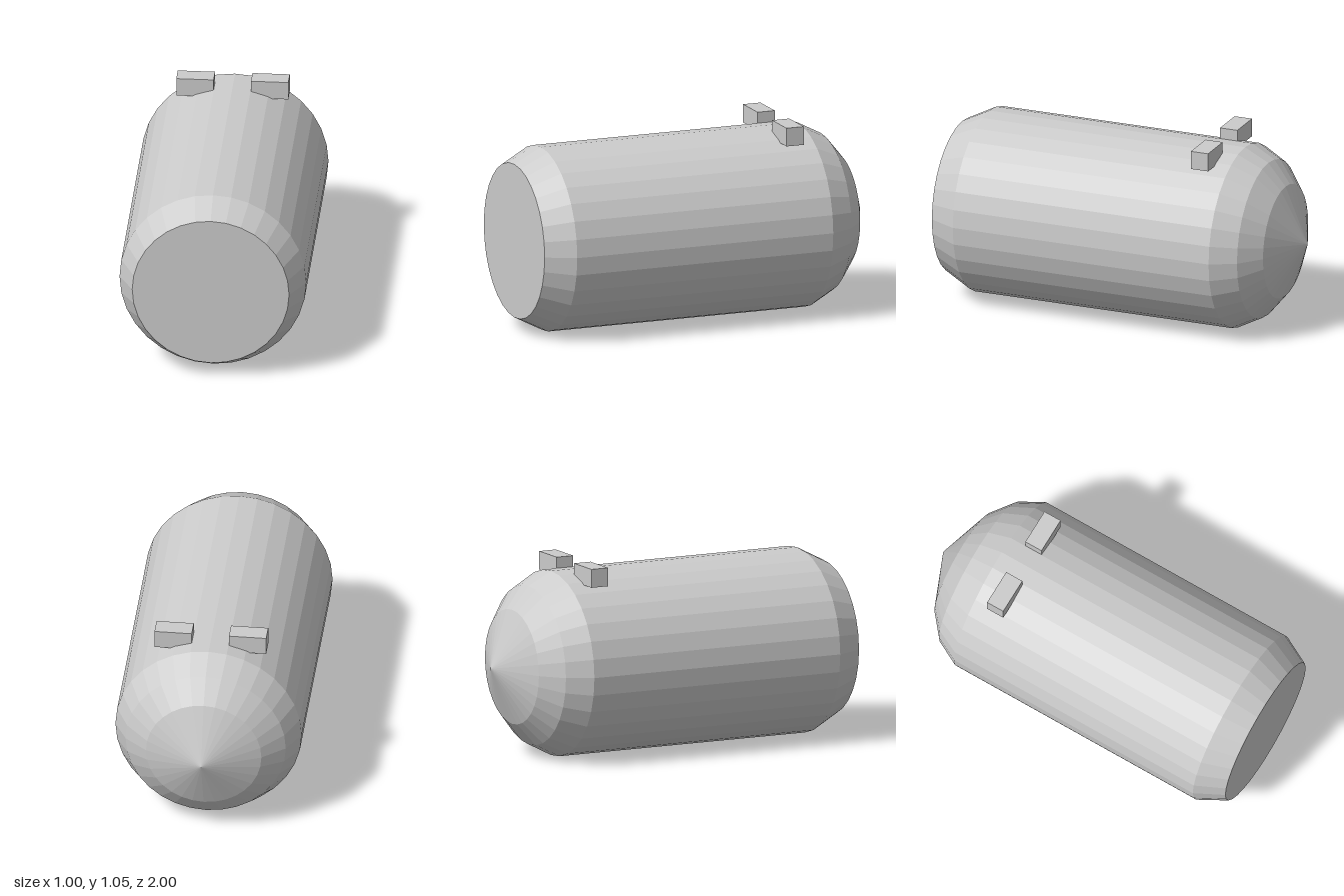
import * as THREE from 'three';

export function createModel() {
  const model = new THREE.Group();
  const material = new THREE.MeshStandardMaterial({ color: 0xcccccc, flatShading: true });

  const add = (name, geometry, x, y, z) => {
    const mesh = new THREE.Mesh(geometry, material);
    mesh.name = name;
    mesh.position.set(x, y, z);
    model.add(mesh);
  };

  // Capsule body: [radius, distance along the axis], flat front to pointed rear
  const profile = [
    [0, -1], [0.42, -1], [0.5, -0.845], [0.5, 0.637],
    [0.43, 0.772], [0.31, 0.872], [0.008, 0.997], [0, 1],
  ].map(([r, a]) => new THREE.Vector2(r, a));
  const body = new THREE.LatheGeometry(profile, 32);
  body.rotateX(-Math.PI / 2);
  add('body', body, 0, 0.5, 0);

  // Pair of small blocks on top, near the rear
  for (const [name, side] of [['leftLug', 1], ['rightLug', -1]]) {
    add(name, new THREE.BoxGeometry(0.2, 0.1, 0.1), side * 0.2, 1, -0.5);
  }

  return model;
}
